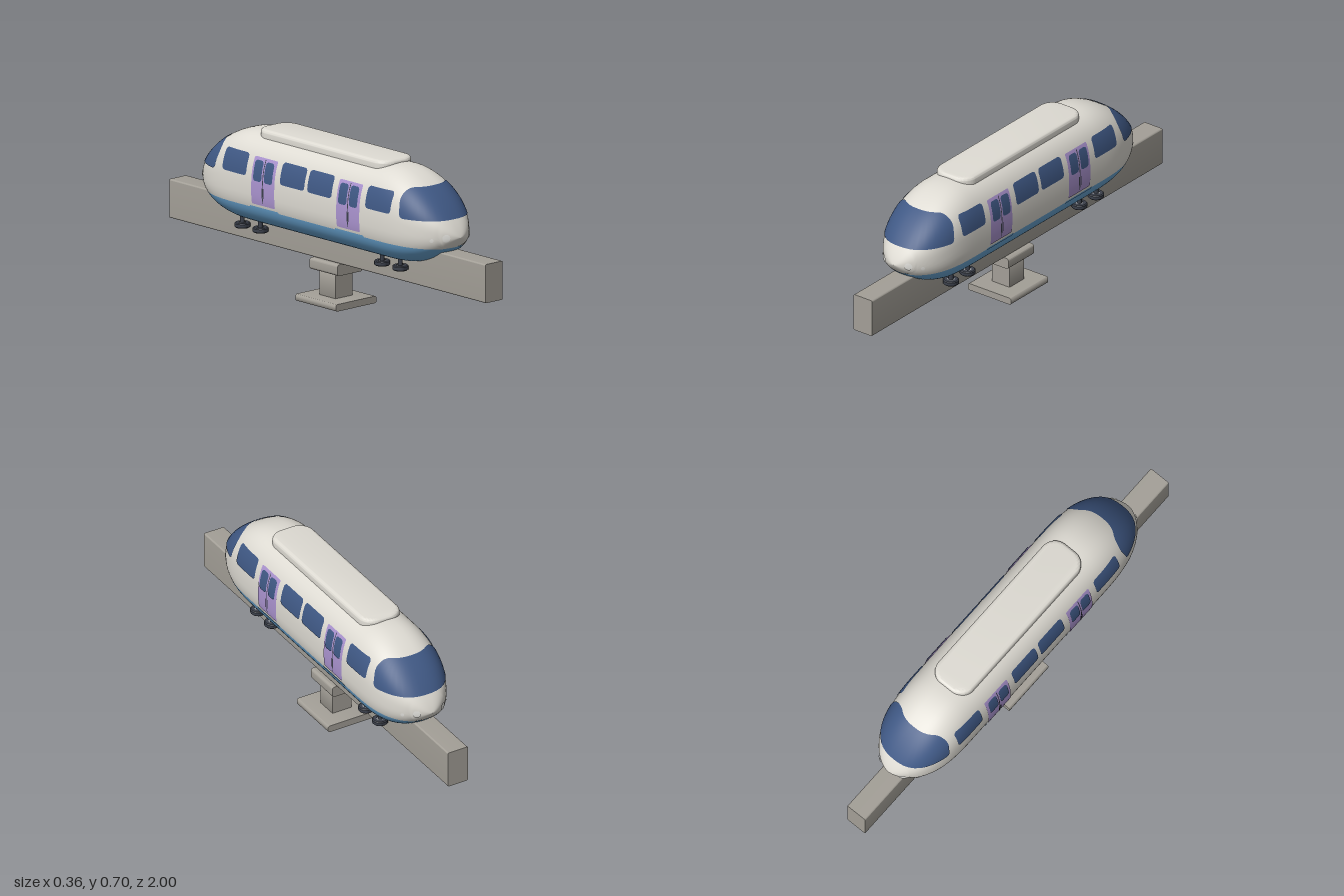
import * as THREE from 'three';
import { toCreasedNormals } from 'three/addons/utils/BufferGeometryUtils.js';

const mat = (name, color, side = THREE.FrontSide) => {
  const m = new THREE.MeshStandardMaterial({ color, side });
  m.name = name;
  return m;
};

// Hull rules: width, crown and keel all shrink towards the two noses
const LEN = 0.79, POW = 2.5;
const fade = (z, a, b) => {
  const s = Math.min(1, Math.max(0, (Math.abs(z) - 0.42) / (LEN - 0.42)));
  return Math.pow(1 - Math.pow(s, a), b);
};
function section(z) {
  const f = fade(z, 2, 0.8), yc = 0.43 + 0.03 * f;
  return {
    w: 0.176 * fade(z, 3, 0.6), yc,
    up: 0.43 + 0.26 * f - yc,
    down: yc - (0.43 - 0.15 * fade(z, 2.6, 0.8)),
  };
}
function inside(p) {
  if (Math.abs(p.z) >= LEN) return false;
  const { w, yc, up, down } = section(p.z), dy = p.y - yc;
  return Math.pow(Math.abs(p.x) / w, POW) + Math.pow(Math.abs(dy) / (dy > 0 ? up : down), POW) < 1;
}
// Point where a ray from within leaves the hull, lifted by a small gap
function project(origin, dir, gap) {
  let lo = 0, hi = 1;
  for (let i = 0; i < 26; i++) {
    const m = (lo + hi) / 2;
    if (inside(origin.clone().addScaledVector(dir, m))) lo = m; else hi = m;
  }
  return origin.clone().addScaledVector(dir, lo + gap);
}

function gridIndex(rows, cols) {
  const idx = [];
  for (let i = 0; i < rows; i++) for (let j = 0; j < cols; j++) {
    const a = i * (cols + 1) + j, d = a + cols + 1;
    idx.push(a, a + 1, d, a + 1, d + 1, d);
  }
  return idx;
}

// Rounded plate that follows the hull; ray(u, v) gives [origin, direction]
function plate({ u, v, hu, hv, top, bottom = top, gap }, ray) {
  const rows = 20, cols = 20, pos = [];
  for (let i = 0; i <= rows; i++) {
    const y = -hv * Math.cos(Math.PI * i / rows);
    const [ru, rv] = y > 0 ? top : bottom;
    const k = Math.max(0, Math.abs(y) - (hv - rv)) / rv;
    const half = hu - ru * (1 - Math.sqrt(Math.max(0, 1 - k * k)));
    for (let j = 0; j <= cols; j++) {
      const [o, d] = ray(u + half * (2 * j / cols - 1), v + y);
      pos.push(...project(o, d, gap).toArray());
    }
  }
  const g = new THREE.BufferGeometry();
  g.setAttribute('position', new THREE.Float32BufferAttribute(pos, 3));
  g.setIndex(gridIndex(rows, cols));
  g.computeVertexNormals();
  return g;
}

// Closed hull, split into two colours along the waterline
function hullGeometry(split) {
  const n = 40, upper = 40, lower = 24, K = upper + lower, pos = [], top = [], low = [];
  for (let i = -n; i <= n; i++) {
    const z = LEN * Math.sin((i / n) * Math.PI / 2), { w, yc, up, down } = section(z);
    const k = down > 1e-6 ? Math.min(1, (yc - split) / down) : 1;
    const a = -Math.asin(Math.pow(k, POW / 2));
    for (let j = 0; j < K; j++) {
      const t = j < upper ? a + (Math.PI - 2 * a) * j / upper
        : Math.PI - a + (Math.PI + 2 * a) * (j - upper) / lower;
      const c = Math.cos(t), s = Math.sin(t), e = 2 / POW;
      pos.push(w * Math.sign(c) * Math.pow(Math.abs(c), e),
        yc + (s > 0 ? up : -down) * Math.pow(Math.abs(s), e), z);
    }
  }
  for (let i = 0; i < 2 * n; i++) for (let j = 0; j < K; j++) {
    const a = i * K + j, b = i * K + (j + 1) % K;
    (j < upper ? top : low).push(a, b, a + K, b, b + K, a + K);
  }
  const g = new THREE.BufferGeometry();
  g.setAttribute('position', new THREE.Float32BufferAttribute(pos, 3));
  g.setIndex([...top, ...low]);
  g.addGroup(0, top.length, 0);
  g.addGroup(top.length, low.length, 1);
  g.computeVertexNormals();
  return g;
}

function roundedRect(w, h, r) {
  const s = new THREE.Shape(), x = w / 2, y = h / 2;
  s.absarc(x - r, y - r, r, 0, Math.PI / 2);
  s.absarc(-x + r, y - r, r, Math.PI / 2, Math.PI);
  s.absarc(-x + r, -y + r, r, Math.PI, Math.PI * 1.5);
  s.absarc(x - r, -y + r, r, Math.PI * 1.5, Math.PI * 2);
  return s;
}
// Bar along z with rounded long edges, from y0 to y1
function bar(w, y0, y1, d, r) {
  const g = new THREE.ExtrudeGeometry(roundedRect(w, y1 - y0, r), { depth: d, bevelEnabled: false, curveSegments: 6 });
  g.translate(0, (y0 + y1) / 2, -d / 2);
  return toCreasedNormals(g, 0.6);
}

export function createModel() {
  const root = new THREE.Group();
  root.name = 'monorail';
  const cream = mat('cream', 0xdedbd3);
  const blue = mat('skyBlue', 0x6aa6d4, THREE.DoubleSide);
  const glass = mat('navyGlass', 0x3f5884, THREE.DoubleSide);
  const purple = mat('lilac', 0xab94d0, THREE.DoubleSide);
  const lamp = mat('lampWhite', 0xe6e5e0, THREE.DoubleSide);
  const concrete = mat('concrete', 0xa39f97);
  const rubber = mat('darkRubber', 0x3b404b, THREE.DoubleSide);
  const metal = mat('hubGrey', 0xa9abb0);
  const add = (name, geo, material, parent = root) => {
    const m = new THREE.Mesh(geo, material);
    m.name = name;
    parent.add(m);
    return m;
  };

  // Track and pedestal
  add('trackBeam', bar(0.1, 0.19, 0.36, 2, 0.006), concrete);
  add('pedestalCap', bar(0.144, 0.14, 0.19, 0.176, 0.012), concrete);
  add('pedestalPost', bar(0.096, 0.03, 0.14, 0.1, 0.002), concrete);
  add('pedestalBase', bar(0.234, 0, 0.031, 0.256, 0.01), concrete);

  // Body and roof pod
  add('body', hullGeometry(0.38), [cream, blue]);
  const pod = new THREE.ExtrudeGeometry(roundedRect(0.156, 0.786, 0.05), {
    depth: 0.03, bevelThickness: 0.015, bevelSize: 0.018, bevelSegments: 6, curveSegments: 10,
  });
  pod.rotateX(-Math.PI / 2).translate(0, 0.66, 0);
  add('roofPod', toCreasedNormals(pod, 0.7), cream);

  // Windows and doors on both sides
  for (const side of [1, -1]) {
    const dir = new THREE.Vector3(side, 0, 0);
    const ray = (z, y) => [new THREE.Vector3(0, y, z), dir];
    const panel = (name, material, u, v, hu, hv, r, gap) =>
      add(name, plate({ u, v, hu, hv, top: [r, r], gap }, ray), material);
    for (const z of [0.455, 0.088, -0.085, -0.452])
      panel('sideWindow', glass, z, 0.562, 0.077, 0.048, 0.016, 0.003);
    for (const z of [0.271, -0.267]) {
      panel('door', purple, z, 0.502, 0.073, 0.103, 0.006, 0.003);
      panel('doorSeam', rubber, z, 0.505, 0.0022, 0.095, 0.001, 0.005);
      panel('doorSill', blue, z, 0.383, 0.09, 0.005, 0.003, 0.003);
      for (const k of [-1, 1]) {
        panel('doorWindow', glass, z + k * 0.034, 0.548, 0.026, 0.045, 0.014, 0.006);
        panel('doorHandle', rubber, z + k * 0.006, 0.455, 0.0025, 0.022, 0.002, 0.006);
      }
    }
  }

  // Windscreen and lamps on both noses
  for (const end of [1, -1]) {
    const around = (t, y) => [new THREE.Vector3(0, y, end * 0.45),
      new THREE.Vector3(Math.sin(t), 0, end * Math.cos(t))];
    add('windscreen', plate({
      u: 0, v: 0.5675, hu: 0.9, hv: 0.0625, top: [0.36, 0.062], bottom: [0.08, 0.018], gap: 0.004,
    }, around), glass);
    const ahead = (x, y) => [new THREE.Vector3(x, y, 0), new THREE.Vector3(0, 0, end)];
    for (const k of [-1, 1]) {
      add('headlight', plate({ u: k * 0.065, v: 0.433, hu: 0.014, hv: 0.017, top: [0.014, 0.017], gap: 0.006 }, ahead), lamp);
      add('sideLamp', plate({ u: k * 0.11, v: 0.422, hu: 0.005, hv: 0.009, top: [0.005, 0.009], gap: 0.006 }, ahead), lamp);
    }
  }

  // Guide wheels lying flat against the beam
  const tyreProfile = [[0.016, -0.011], [0.03, -0.011], [0.034, -0.007], [0.034, 0.007], [0.03, 0.011], [0.016, 0.011]]
    .map(([x, y]) => new THREE.Vector2(x, y));
  const tyre = toCreasedNormals(new THREE.LatheGeometry(tyreProfile, 28), 0.6);
  const hub = new THREE.CylinderGeometry(0.017, 0.017, 0.018, 20);
  const axle = new THREE.CylinderGeometry(0.01, 0.01, 0.06, 14);
  for (const x of [-0.084, 0.084]) for (const z of [-0.5, -0.385, 0.385, 0.5]) {
    const wheel = new THREE.Group();
    wheel.name = 'guideWheel';
    wheel.position.set(x, 0.26, z);
    add('tyre', tyre, rubber, wheel);
    add('hub', hub, metal, wheel);
    add('axle', axle, rubber, wheel).position.y = 0.035;
    root.add(wheel);
  }
  return root;
}
